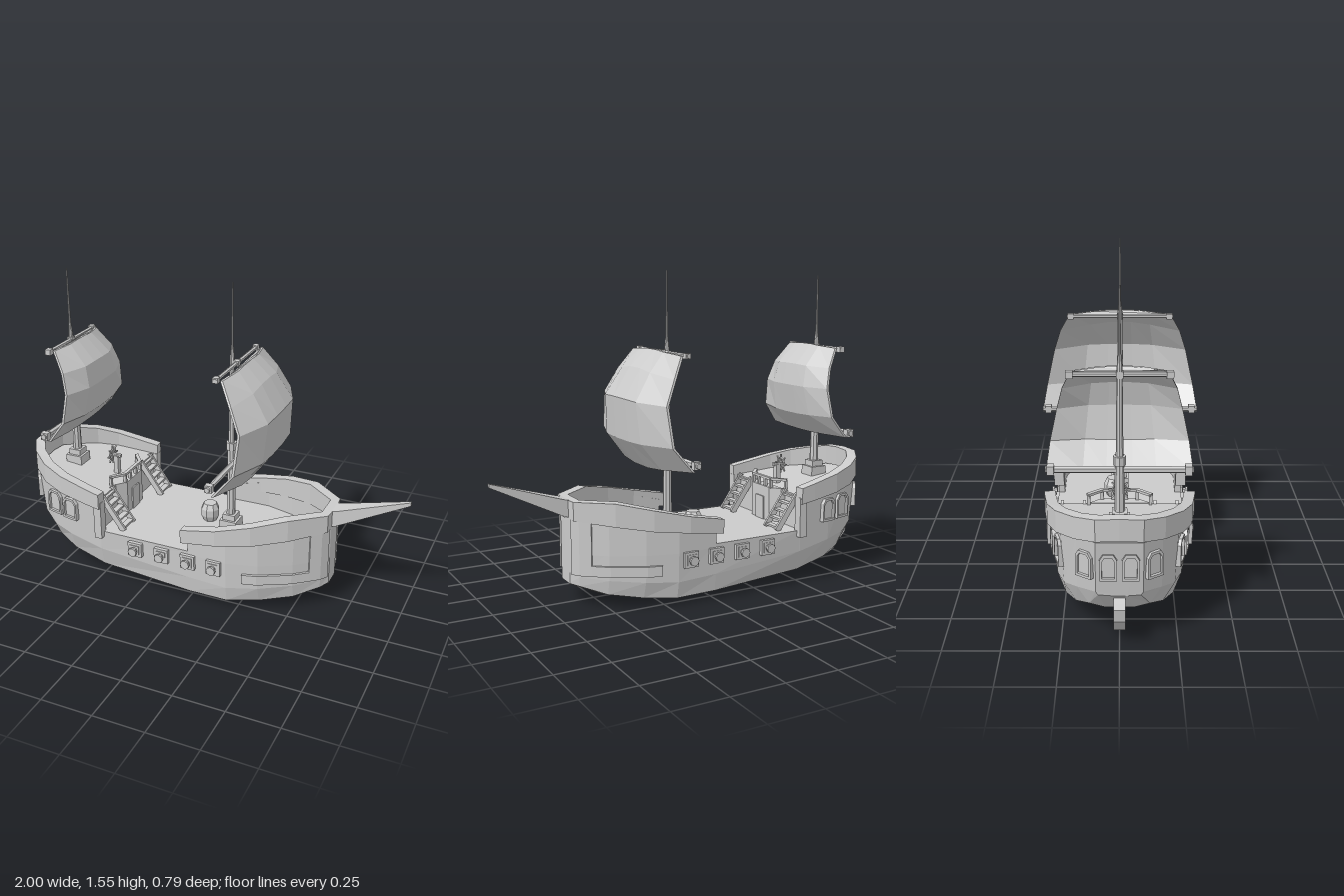
import * as THREE from 'three';

const mat = new THREE.MeshStandardMaterial({ color: 0xcccccc, flatShading: true, side: THREE.DoubleSide });

export function createModel() {
  const ship = new THREE.Group();
  ship.name = 'sailingShip';

  const add = (name, geo, x = 0, y = 0, z = 0, parent = ship) => {
    const m = new THREE.Mesh(geo, mat);
    m.name = name;
    m.position.set(x, y, z);
    parent.add(m);
    return m;
  };
  const box = (name, w, h, d, x, y, z, parent) => add(name, new THREE.BoxGeometry(w, h, d), x, y, z, parent);

  // Closed skin through equal rings of [x, y, z], capped at both ends
  function loft(rings) {
    const n = rings[0].length, idx = [];
    for (let i = 0; i < rings.length - 1; i++) for (let j = 0; j < n; j++) {
      const a = i * n + j, d = i * n + (j + 1) % n;
      idx.push(a, a + n, d + n, a, d + n, d);
    }
    const e = (rings.length - 1) * n;
    for (let j = 1; j < n - 1; j++) idx.push(0, j, j + 1, e, e + j + 1, e + j);
    const g = new THREE.BufferGeometry();
    g.setAttribute('position', new THREE.Float32BufferAttribute(rings.flat(2), 3));
    g.setIndex(idx);
    const flat = g.toNonIndexed();
    flat.computeVertexNormals();
    return flat;
  }

  // Upright band along a path of [x, z, yBottom, yTop], built on both sides
  function band(name, path, thick) {
    for (const s of [1, -1]) {
      const rings = path.map(([x, z, b, t], i) => {
        const p = path[Math.max(i - 1, 0)], q = path[Math.min(i + 1, path.length - 1)];
        const len = Math.hypot(q[0] - p[0], q[1] - p[1]);
        const ix = x + (q[1] - p[1]) / len * thick;
        const iz = z === 0 ? 0 : Math.max(0, z - (q[0] - p[0]) / len * thick);
        const r = [[ix, b, s * iz], [x, b, s * z], [x, t, s * z], [ix, t, s * iz]];
        return s > 0 ? r : r.reverse();
      });
      add(name + (s > 0 ? 'Left' : 'Right'), loft(rings));
    }
  }

  // Hull: x, keel y, keel half width, chine y/w, wale y/w, deck y/w
  const stations = [
    [-0.95, 0.24, 0.03, 0.245, 0.09, 0.26, 0.10, 0.50, 0.10],
    [-0.89, 0.15, 0.06, 0.17, 0.13, 0.25, 0.18, 0.495, 0.18],
    [-0.80, 0.10, 0.08, 0.13, 0.19, 0.22, 0.24, 0.485, 0.25],
    [-0.68, 0.07, 0.08, 0.10, 0.24, 0.20, 0.275, 0.47, 0.285],
    [-0.49, 0.04, 0.08, 0.07, 0.275, 0.17, 0.30, 0.45, 0.31],
    [-0.485, 0.04, 0.08, 0.07, 0.275, 0.17, 0.30, 0.28, 0.307],
    [0.00, 0.01, 0.08, 0.045, 0.295, 0.13, 0.305, 0.28, 0.308],
    [0.20, 0.005, 0.08, 0.04, 0.29, 0.12, 0.305, 0.28, 0.31],
    [0.35, 0.01, 0.08, 0.05, 0.24, 0.13, 0.265, 0.28, 0.27],
    [0.50, 0.05, 0.08, 0.07, 0.17, 0.14, 0.185, 0.28, 0.19],
    [0.61, 0.095, 0.05, 0.105, 0.09, 0.15, 0.095, 0.28, 0.10],
    [0.64, 0.11, 0.045, 0.115, 0.05, 0.16, 0.05, 0.28, 0.05],
  ];
  add('hull', loft(stations.map(([x, ky, kw, cy, cw, my, mw, ty, tw]) => {
    const rake = (y) => (x < -0.78 ? x - Math.max(0, y - 0.25) * 0.1 : x);
    const half = [[ky, kw], [cy, cw], [my, mw], [ty, tw]];
    return [...half.map(([y, w]) => [rake(y), y, w]),
      ...half.reverse().map(([y, w]) => [rake(y), y, -w])];
  })));

  // Bow walls, bulwarks and raised trim
  band('bowWall', [[0, 0.308, 0.26, 0.37], [0.2, 0.31, 0.26, 0.42], [0.35, 0.27, 0.26, 0.45],
    [0.5, 0.19, 0.26, 0.48], [0.61, 0.1, 0.26, 0.5], [0.64, 0.05, 0.26, 0.5], [0.641, 0, 0.26, 0.5]], 0.03);
  band('bowBulwark', [[-0.03, 0.33, 0.33, 0.4], [0.15, 0.33, 0.355, 0.435], [0.32, 0.295, 0.375, 0.475],
    [0.48, 0.22, 0.4, 0.51], [0.635, 0.095, 0.42, 0.51], [0.645, 0, 0.42, 0.51]], 0.05);
  band('bowLowerTrim', [[0.28, 0.30, 0.16, 0.21], [0.35, 0.282, 0.16, 0.21], [0.5, 0.202, 0.16, 0.21],
    [0.57, 0.146, 0.16, 0.21]], 0.03);
  band('bowUprightTrim', [[0.57, 0.146, 0.16, 0.42], [0.615, 0.108, 0.16, 0.42], [0.64, 0.07, 0.16, 0.42]], 0.03);
  band('sternBulwark', [[-0.985, 0, 0.51, 0.61], [-0.98, 0.1, 0.505, 0.605], [-0.92, 0.19, 0.49, 0.59],
    [-0.82, 0.27, 0.47, 0.57], [-0.7, 0.315, 0.45, 0.545], [-0.55, 0.335, 0.43, 0.515], [-0.47, 0.343, 0.42, 0.5]], 0.05);
  band('sternEndPost', [[-0.505, 0.333, 0.25, 0.45], [-0.465, 0.333, 0.25, 0.45]], 0.045);

  // Bowsprit and rudder
  add('bowsprit', loft([[0.61, 0.42, 0.505, 0.05], [0.66, 0.435, 0.515, 0.045], [1, 0.6, 0.618, 0.008]].map(
    ([x, b, t, w]) => [[x, b, -w], [x, b, w], [x, t, w], [x, t, -w]])));
  const fin = new THREE.Shape([[-1, 0.2], [-0.99, 0.14], [-0.91, 0.05], [-0.86, 0.025], [-0.76, 0.01], [-0.73, 0.08],
    [-0.85, 0.14], [-0.92, 0.23], [-0.97, 0.21]].map((p) => new THREE.Vector2(...p)));
  add('rudder', new THREE.ExtrudeGeometry(fin, { depth: 0.05, bevelEnabled: false }), 0, 0, -0.025);

  // Arched windows set on the hull facets, facing the given yaw
  const arch = (w, h) => new THREE.Shape([[-w, -h], [w, -h], [w, h * 0.6], [w * 0.6, h], [-w * 0.6, h], [-w, h * 0.6]]
    .map((p) => new THREE.Vector2(...p)));
  function archedWindow(x, y, z, w, h, yaw) {
    const g = new THREE.Group();
    g.name = 'window';
    const frame = arch(w, h);
    frame.holes.push(arch(w - 0.01, h - 0.012));
    add('windowFrame', new THREE.ExtrudeGeometry(frame, { depth: 0.03, bevelEnabled: false }), 0, 0, -0.012, g);
    add('windowPane', new THREE.ExtrudeGeometry(arch(w - 0.008, h - 0.01), { depth: 0.014, bevelEnabled: false }), 0, 0, -0.008, g);
    g.position.set(x, y, z);
    g.rotation.y = yaw;
    ship.add(g);
  }
  for (const s of [1, -1]) {
    const yaw = (a) => (s > 0 ? a : Math.PI - a);
    archedWindow(-0.77, 0.365, s * 0.256, 0.045, 0.062, yaw(-0.26));
    archedWindow(-0.665, 0.36, s * 0.284, 0.043, 0.058, yaw(-0.18));
    archedWindow(-0.932, 0.385, s * 0.142, 0.04, 0.06, yaw(-0.97));
    archedWindow(-0.963, 0.385, s * 0.047, 0.036, 0.06, -Math.PI / 2);

    // Gun ports with short cannons
    for (const x of [-0.285, -0.14, 0.003, 0.14]) {
      box('gunPort', 0.075, 0.075, 0.025, x, 0.225, s * 0.312);
      box('gunPortInset', 0.05, 0.05, 0.03, x, 0.225, s * 0.313);
      add('cannon', new THREE.CylinderGeometry(0.016, 0.02, 0.05, 8), x, 0.225, s * 0.32).rotation.x = s * Math.PI / 2;
      add('cannonMuzzle', new THREE.CylinderGeometry(0.023, 0.023, 0.012, 8), x, 0.225, s * 0.347).rotation.x = Math.PI / 2;
    }

    // Open stairs to the stern deck
    for (const dz of [-0.05, 0.05]) {
      box('stairStringer', 0.215, 0.03, 0.012, -0.44, 0.368, s * 0.21 + dz).rotation.z = -0.96;
    }
    for (let i = 0; i < 5; i++) box('stairTread', 0.03, 0.01, 0.1, -0.49 + i * 0.025, 0.438 - i * 0.036, s * 0.21);
  }

  // Cabin bay with door and balcony rail
  const bay = [[-0.5, 0.14], [-0.45, 0.08], [-0.45, -0.08], [-0.5, -0.14]];
  const bayShape = new THREE.Shape(bay.map(([x, z]) => new THREE.Vector2(x, -z)));
  add('cabinBay', new THREE.ExtrudeGeometry(bayShape, { depth: 0.18, bevelEnabled: false }), 0, 0.275, 0).rotation.x = -Math.PI / 2;
  box('cabinDoor', 0.012, 0.12, 0.07, -0.449, 0.34, 0);
  for (let i = 0; i < 3; i++) {
    const [ax, az] = bay[i], [bx, bz] = bay[i + 1];
    box('balconyRail', Math.hypot(bx - ax, bz - az) + 0.01, 0.012, 0.018, (ax + bx) / 2 - 0.01, 0.5, (az + bz) / 2)
      .rotation.y = -Math.atan2(bz - az, bx - ax);
  }
  for (const [x, z] of [...bay, [-0.45, 0.03], [-0.45, -0.03]]) box('balconyPost', 0.014, 0.05, 0.014, x - 0.01, 0.476, z);

  // Steering wheel
  const wheel = new THREE.Group();
  wheel.name = 'steeringWheel';
  wheel.position.set(-0.575, 0.555, 0);
  add('wheelRim', new THREE.TorusGeometry(0.032, 0.005, 4, 8), 0, 0, 0, wheel).rotation.y = Math.PI / 2;
  for (let i = 0; i < 4; i++) box('wheelSpoke', 0.007, 0.098, 0.007, 0, 0, 0, wheel).rotation.x = i * Math.PI / 4;
  box('wheelAxle', 0.06, 0.016, 0.016, 0.02, 0, 0, wheel);
  box('wheelPedestal', 0.025, 0.1, 0.03, 0.025, -0.05, 0, wheel);
  ship.add(wheel);

  // Masts on square feet
  const lathe = (pts, sides) => new THREE.LatheGeometry(pts.map((p) => new THREE.Vector2(...p)), sides);
  function mast(name, x, base, collar, top) {
    add(name, lathe([[0.024, base], [0.02, collar - 0.02], [0.027, collar - 0.02], [0.027, collar + 0.02],
      [0.016, collar + 0.02], [0.012, 1.19], [0.006, 1.25], [0.003, top], [0, top]], 8), x);
    box(name + 'Foot', 0.09, 0.05, 0.09, x, base + 0.025, 0);
    box(name + 'FootStep', 0.065, 0.03, 0.065, x, base + 0.065, 0);
  }
  mast('foreMast', 0.098, 0.28, 0.735, 1.555);
  mast('aftMast', -0.787, 0.475, 0.785, 1.525);

  // Yards with clamps
  function yard(name, x, y, half, r) {
    add(name, new THREE.CylinderGeometry(r, r, half * 2, 6), x, y, 0).rotation.x = Math.PI / 2;
    for (const f of [-0.93, 0, 0.93]) box(name + 'Clamp', r * 2.6, r * 2.6, 0.03, x, y, f * half);
  }
  yard('foreUpperYard', 0.122, 1.168, 0.26, 0.01);
  yard('foreLowerYard', 0.14, 0.68, 0.39, 0.014);
  yard('aftUpperYard', -0.785, 1.158, 0.22, 0.011);
  yard('aftLowerYard', -0.785, 0.742, 0.31, 0.015);

  // Billowing sails: rows of [edge y, centre y, edge x, centre x, half width]
  function sail(name, rows) {
    const cols = [[1, 0], [0.5, 0.92], [0.18, 1], [-0.18, 1], [-0.5, 0.92], [-1, 0]];
    add(name, loft(rows.map(([ey, cy, ex, cx, w]) => {
      const pts = cols.map(([t, f]) => [ex + (cx - ex) * f, cy + (ey - cy) * Math.abs(t), t * w]);
      return [...pts, ...pts.map(([x, y, z]) => [x - 0.012, y, z]).reverse()];
    })));
  }
  sail('foreSail', [[1.17, 1.19, 0.157, 0.185, 0.25], [1.07, 1.11, 0.22, 0.27, 0.30], [0.955, 0.965, 0.278, 0.355, 0.335],
    [0.77, 0.76, 0.268, 0.34, 0.375], [0.655, 0.62, 0.175, 0.24, 0.395]]);
  sail('aftSail', [[1.165, 1.18, -0.755, -0.725, 0.2], [1.07, 1.08, -0.69, -0.63, 0.24], [0.97, 0.97, -0.66, -0.608, 0.265],
    [0.83, 0.82, -0.67, -0.635, 0.295], [0.725, 0.715, -0.745, -0.73, 0.31]]);

  // Barrels on the deck
  for (const [x, z] of [[-0.03, -0.03], [0.44, 0.1]]) {
    add('barrel', lathe([[0, 0], [0.034, 0], [0.048, 0.03], [0.048, 0.065], [0.034, 0.095], [0, 0.095]], 8), x, 0.28, z);
  }
  return ship;
}
